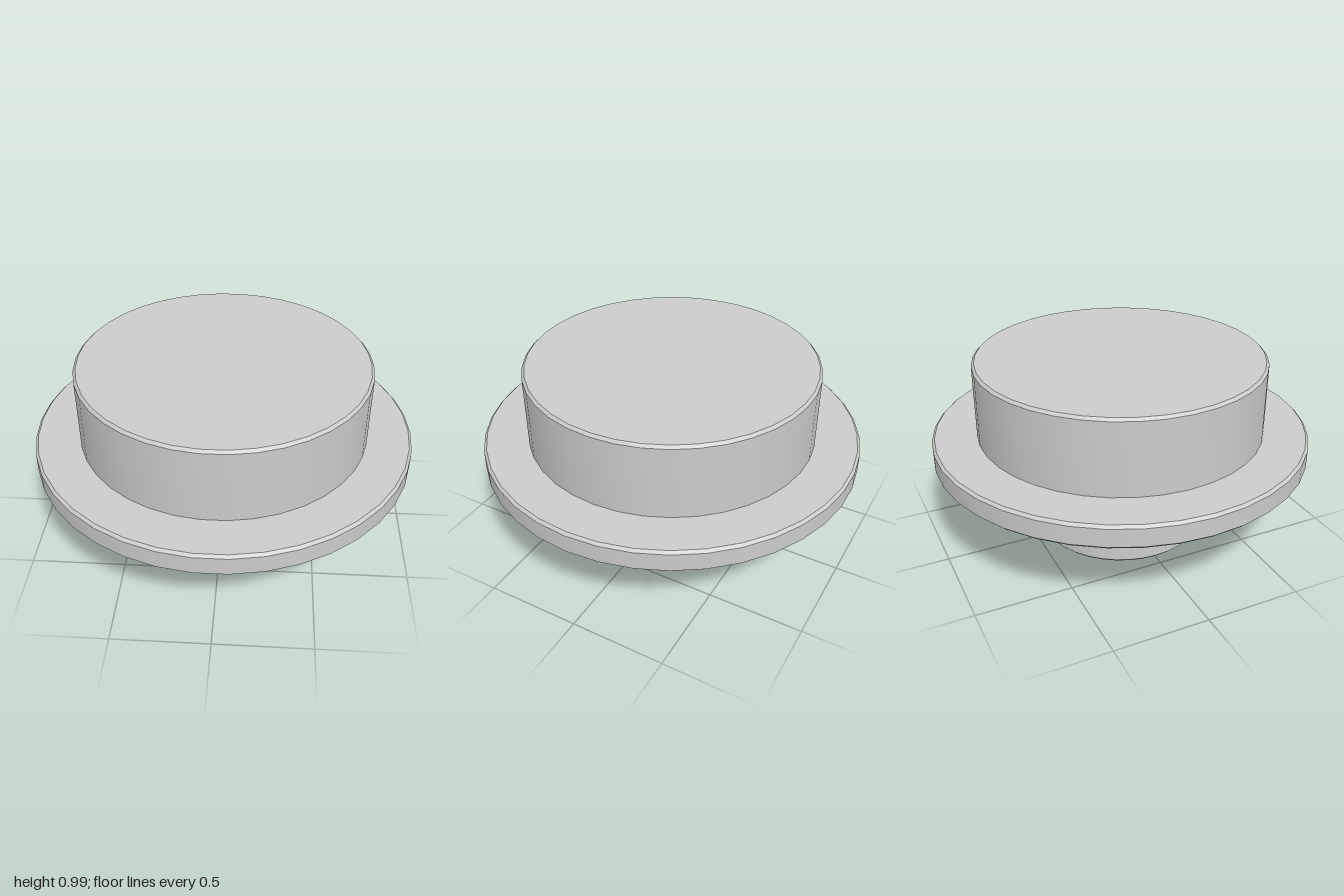
import * as THREE from 'three';
import { toCreasedNormals } from 'three/addons/utils/BufferGeometryUtils.js';

const SIDES = 38;
const BEVEL = 0.014;
const HUB_R = 0.45, FLANGE_R = 1, CAP_R = 0.765, BORE_R = 0.16;
const FLANGE_Y = 0.47, CAP_Y = 0.593, TOP_Y = 0.994, BORE_TOP = 0.47;

const material = new THREE.MeshStandardMaterial({ color: 0xcccccc });

// Turned part from [radius, height] points, with sharp edges along the profile
function turned(name, profile) {
  const points = profile.map(([r, y]) => new THREE.Vector2(r, y));
  const lathe = new THREE.LatheGeometry(points, SIDES, Math.PI / 2);
  const mesh = new THREE.Mesh(toCreasedNormals(lathe, Math.PI / 6), material);
  mesh.name = name;
  return mesh;
}

export function createModel() {
  const group = new THREE.Group();
  group.name = 'flangedKnob';

  // Narrow hub with a blind bore from below
  group.add(turned('hub', [
    [0, BORE_TOP], [BORE_R, BORE_TOP], [BORE_R, 0],
    [HUB_R - BEVEL, 0], [HUB_R, BEVEL], [HUB_R, FLANGE_Y],
  ]));

  // Wide flange, bevelled on both rims
  group.add(turned('flange', [
    [HUB_R, FLANGE_Y], [FLANGE_R - BEVEL, FLANGE_Y], [FLANGE_R, FLANGE_Y + BEVEL],
    [FLANGE_R, CAP_Y - BEVEL], [FLANGE_R - BEVEL, CAP_Y], [CAP_R, CAP_Y],
  ]));

  // Solid cap with a bevelled top rim
  group.add(turned('cap', [
    [CAP_R, CAP_Y], [CAP_R, TOP_Y - BEVEL], [CAP_R - BEVEL, TOP_Y], [0, TOP_Y],
  ]));

  return group;
}
